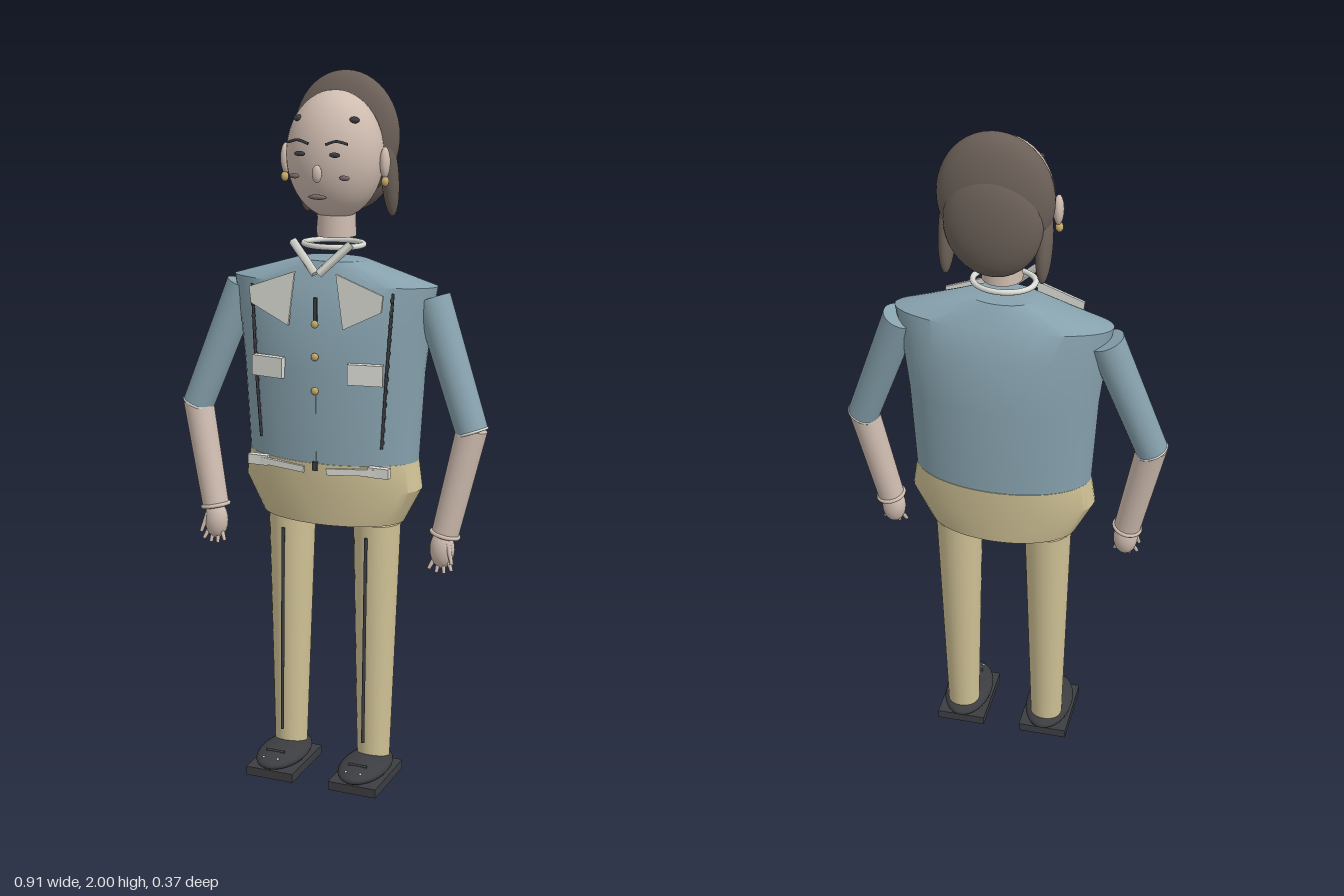
import * as THREE from 'three';
import { toCreasedNormals } from 'three/addons/utils/BufferGeometryUtils.js';

const mat = (color) => new THREE.MeshStandardMaterial({ color, side: THREE.DoubleSide });
const V = (x, y, z) => new THREE.Vector3(x, y, z);

export function createModel() {
  const root = new THREE.Group();
  const jacket = mat(0x87a2ae), tan = mat(0xd0c296), skin = mat(0xcfbcb0), hair = mat(0x6b6058);
  const dark = mat(0x3c3d41), pale = mat(0xdcdcd6), gold = mat(0xc8ad6a), lip = mat(0x7a6a6a);

  function add(name, geometry, material, x = 0, y = 0, z = 0) {
    const m = new THREE.Mesh(geometry, material);
    m.name = name;
    m.position.set(x, y, z);
    root.add(m);
    return m;
  }
  function ellipsoid(name, material, p, r, segs = 32) {
    const m = add(name, new THREE.SphereGeometry(1, segs, segs / 2), material, ...p);
    m.scale.set(...r);
    return m;
  }
  const box = (name, material, p, s) => add(name, new THREE.BoxGeometry(...s), material, ...p);

  // Tapered round bar between two points
  function limb(name, material, a, b, ra, rb, segs = 28) {
    const d = b.clone().sub(a);
    const g = new THREE.CylinderGeometry(ra, rb, d.length(), segs);
    const m = add(name, g, material, ...a.clone().add(b).multiplyScalar(0.5).toArray());
    m.quaternion.setFromUnitVectors(V(0, -1, 0), d.normalize());
    return m;
  }
  function tube(name, material, points, r) {
    return add(name, new THREE.TubeGeometry(new THREE.CatmullRomCurve3(points), 16, r, 6), material);
  }

  // Closed skin through elliptical sections [y, half width, back z, front z]
  function loft(name, material, rows, segs = 48) {
    const pos = [], idx = [], n = segs;
    const ring = ([y, rx, z0, z1], k) => {
      for (let i = 0; i < n; i++) {
        const a = (i / n) * Math.PI * 2;
        pos.push(k * rx * Math.sin(a), y, (z0 + z1) / 2 + k * (z1 - z0) / 2 * Math.cos(a));
      }
    };
    ring(rows[0], 0.001);
    rows.forEach((r) => ring(r, 1));
    ring(rows[rows.length - 1], 0.001);
    for (let j = 0; j <= rows.length; j++) for (let i = 0; i < n; i++) {
      const a = j * n + i, b = j * n + (i + 1) % n;
      idx.push(a, b, b + n, a, b + n, a + n);
    }
    const g = new THREE.BufferGeometry();
    g.setAttribute('position', new THREE.Float32BufferAttribute(pos, 3));
    g.setIndex(idx);
    return add(name, toCreasedNormals(g, 0.5), material);
  }

  // Body
  loft('jacketBody', jacket, [
    [0.95, 0.25, -0.148, 0.12], [1.2, 0.265, -0.152, 0.122], [1.35, 0.283, -0.143, 0.107],
    [1.44, 0.3, -0.113, 0.077], [1.5, 0.1, -0.075, 0.05]]);
  loft('hips', tan, [
    [0.77, 0.21, -0.13, 0.105], [0.87, 0.262, -0.145, 0.12], [0.95, 0.25, -0.15, 0.122]]);

  // Neck, collar ring and front opening
  limb('neck', skin, V(0, 1.65, -0.03), V(0, 1.56, -0.03), 0.052, 0.055);
  const ring = add('collarRing', new THREE.TorusGeometry(0.08, 0.008, 10, 40), pale, 0, 1.54, -0.01);
  ring.rotation.x = Math.PI / 2;
  ring.scale.set(1.05, 0.85, 1);

  // Head and hair
  ellipsoid('head', skin, [0, 1.78, -0.02], [0.136, 0.173, 0.113], 48);
  ellipsoid('hairCrown', hair, [0, 1.825, -0.102], [0.154, 0.175, 0.066], 48);
  ellipsoid('hairBack', hair, [0, 1.765, -0.13], [0.13, 0.15, 0.058], 40);
  ellipsoid('nose', skin, [0, 1.742, 0.106], [0.014, 0.024, 0.01], 16);
  ellipsoid('mouth', lip, [0, 1.68, 0.102], [0.027, 0.007, 0.007], 16);

  // Placket and buttons
  box('placket', dark, [0, 1.375, 0.118], [0.01, 0.075, 0.008]);
  box('frontSeam', jacket, [0, 1.05, 0.121], [0.005, 0.2, 0.004]);
  for (const y of [1.34, 1.25, 1.155]) ellipsoid('button', gold, [0, y, 0.124], [0.011, 0.011, 0.007], 16);
  box('buckle', dark, [0, 0.943, 0.123], [0.014, 0.025, 0.008]);

  for (const s of [1, -1]) {
    // Face
    ellipsoid('ear', skin, [s * 0.145, 1.765, -0.018], [0.014, 0.042, 0.018], 20);
    ellipsoid('earring', gold, [s * 0.147, 1.715, -0.015], [0.011, 0.014, 0.011], 12);
    ellipsoid('eye', dark, [s * 0.05, 1.793, 0.104], [0.016, 0.007, 0.006], 16);
    ellipsoid('cheek', lip, [s * 0.072, 1.732, 0.09], [0.015, 0.007, 0.006], 16);
    ellipsoid('templeSpot', dark, [s * 0.08, 1.88, 0.042], [0.015, 0.009, 0.011], 16);
    tube('eyebrow', dark, [V(s * 0.025, 1.82, 0.105), V(s * 0.055, 1.829, 0.105), V(s * 0.085, 1.822, 0.098)], 0.004);
    const lock = ellipsoid('sideLock', hair, [s * 0.127, 1.715, -0.105], [0.023, 0.112, 0.032], 24);
    lock.rotation.x = 0.2;

    // Collar wing and lapel
    limb('collarWing', pale, V(s * 0.085, 1.555, 0.075), V(s * 0.005, 1.475, 0.108), 0.012, 0.012, 4);
    const lapel = new THREE.Shape([[0.06, 1.48], [0.08, 1.33], [0.19, 1.385], [0.195, 1.43]]
      .map(([x, y]) => new THREE.Vector2(s * x, y)));
    add('lapel', new THREE.ExtrudeGeometry(lapel, { depth: 0.008, bevelEnabled: false }), pale, 0, 0, 0.113);

    // Pocket, belt flap and stitched side seam
    const pocket = box('pocket', pale, [s * 0.143, 1.21, 0.11], [0.097, 0.057, 0.02]);
    pocket.rotation.y = s * 0.15;
    const flap = box('beltFlap', pale, [s * 0.115, 0.935, 0.112], [0.165, 0.018, 0.01]);
    flap.rotation.set(0, s * 0.12, s * 0.05);
    box('beltLoop', pale, [s * 0.18, 0.938, 0.1], [0.06, 0.028, 0.02]);
    tube('sideSeam', dark, [V(s * 0.207, 1.43, 0.075), V(s * 0.193, 1.2, 0.085), V(s * 0.18, 1.0, 0.083)], 0.004);
    for (let i = 0; i < 12; i++) {
      const t = (i + 0.5) / 12;
      ellipsoid('stitch', dark, [s * (0.207 - 0.027 * t), 1.43 - 0.43 * t, 0.08], [0.006, 0.009, 0.006], 8);
    }

    // Arm
    const shoulder = V(s * 0.281, 1.406, -0.03), elbow = V(s * 0.413, 1.054, 0.008);
    const wrist = V(s * 0.35, 0.765, 0.035);
    limb('sleeve', jacket, shoulder, elbow, 0.05, 0.045);
    limb('forearm', skin, elbow.clone().add(V(0, 0.01, 0)), wrist, 0.043, 0.038);
    const hem = add('sleeveHem', new THREE.TorusGeometry(0.043, 0.004, 8, 32), pale, ...elbow.toArray());
    hem.quaternion.setFromUnitVectors(V(0, 0, 1), elbow.clone().sub(shoulder).normalize());
    const cuff = add('cuff', new THREE.TorusGeometry(0.038, 0.006, 8, 32), skin, ...wrist.toArray());
    cuff.quaternion.setFromUnitVectors(V(0, 0, 1), wrist.clone().sub(elbow).normalize());

    // Hand with fanned fingers
    ellipsoid('hand', skin, [s * 0.345, 0.723, 0.042], [0.035, 0.055, 0.03], 24);
    for (let i = 0; i < 4; i++) {
      const u = (i - 1.5) / 1.5;
      limb('finger', skin, V(s * (0.345 + u * 0.018), 0.7, 0.047),
        V(s * (0.345 + u * 0.033), 0.655 + Math.abs(u) * 0.012, 0.058), 0.007, 0.005, 10);
    }
    limb('thumb', skin, V(s * 0.365, 0.745, 0.055), V(s * 0.382, 0.69, 0.068), 0.008, 0.005, 10);

    // Trouser leg and crease
    limb('trouserLeg', tan, V(s * 0.13, 0.76, -0.017), V(s * 0.13, 0.05, 0.002), 0.067, 0.047);
    limb('trouserCrease', dark, V(s * 0.126, 0.73, 0.06), V(s * 0.126, 0.12, 0.076), 0.005, 0.005, 8);

    // Shoe with sole and laces
    box('sole', dark, [s * 0.128, 0.013, 0.058], [0.145, 0.026, 0.216]);
    ellipsoid('shoe', dark, [s * 0.128, 0.044, 0.058], [0.07, 0.028, 0.126], 32);
    for (const dx of [-0.022, 0.022])
      ellipsoid('eyelet', pale, [s * 0.128 + dx, 0.06, 0.155], [0.004, 0.004, 0.004], 8);
    limb('lace', dark, V(s * 0.1, 0.068, 0.12), V(s * 0.156, 0.068, 0.12), 0.004, 0.004, 8);
  }
  return root;
}
